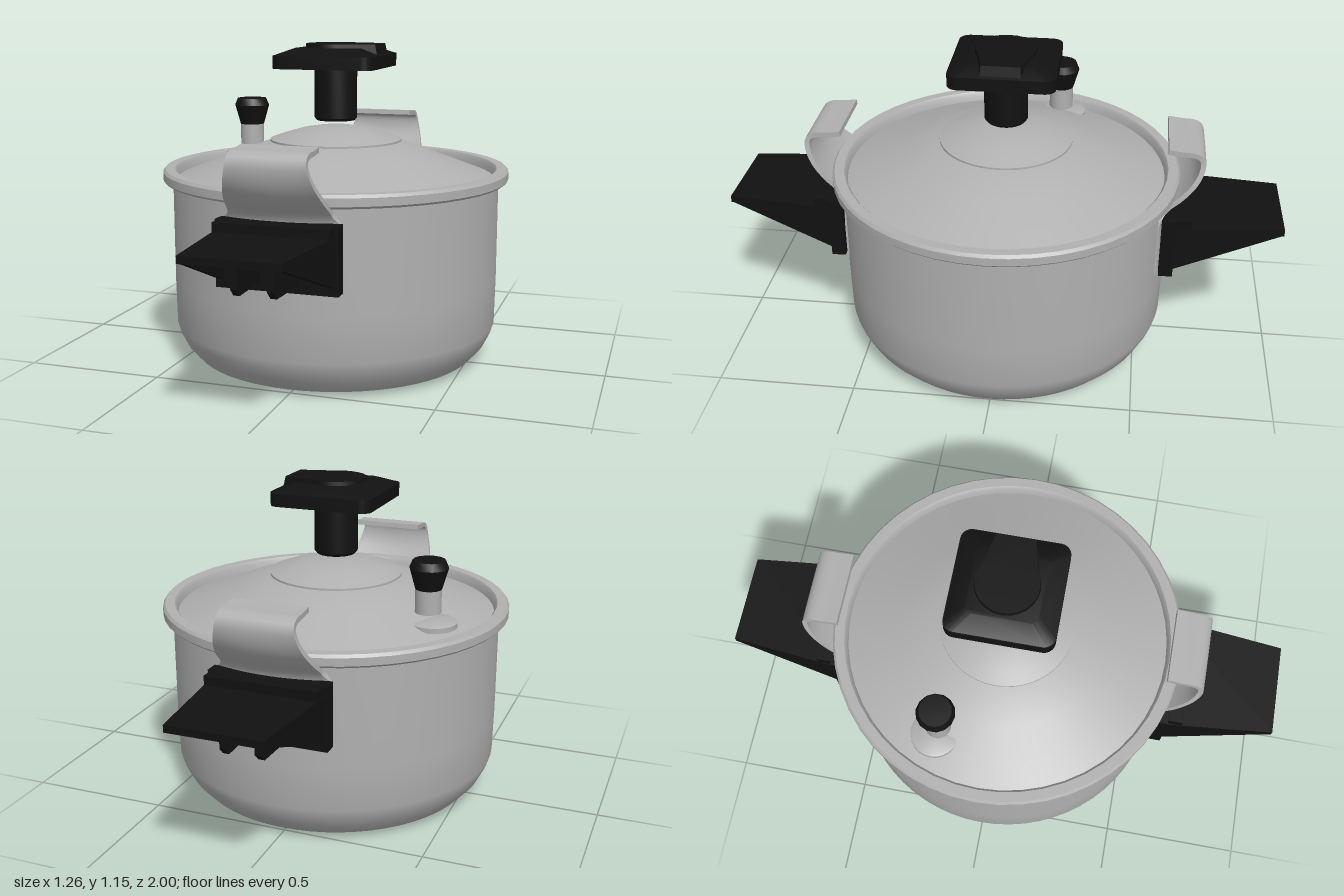
import * as THREE from 'three';
import { toCreasedNormals } from 'three/addons/utils/BufferGeometryUtils.js';

const steel = new THREE.MeshStandardMaterial({ color: 0xb0b0b0 });
steel.name = 'brushed steel';
const black = new THREE.MeshStandardMaterial({ color: 0x111111 });
black.name = 'black plastic';

function part(name, geometry, material, crease = 0.6) {
  const mesh = new THREE.Mesh(toCreasedNormals(geometry, crease), material);
  mesh.name = name;
  return mesh;
}

function lathe(name, points, material, sides) {
  const profile = points.map(([r, y]) => new THREE.Vector2(r, y));
  return part(name, new THREE.LatheGeometry(profile, sides), material);
}

// Square with rounded corners, centred on the origin
function roundedSquare(h, r) {
  const s = new THREE.Shape();
  s.absarc(h - r, h - r, r, 0, Math.PI / 2);
  s.absarc(r - h, h - r, r, Math.PI / 2, Math.PI);
  s.absarc(r - h, r - h, r, Math.PI, Math.PI * 1.5);
  s.absarc(h - r, r - h, r, Math.PI * 1.5, Math.PI * 2);
  s.closePath();
  return s;
}

// Upright slab from a plan shape; the top outline can be shrunk
function slab(name, shape, y0, y1, topScale = 1) {
  const g = new THREE.ExtrudeGeometry(shape, { depth: y1 - y0, bevelEnabled: false, curveSegments: 8 });
  g.rotateX(-Math.PI / 2);
  const p = g.attributes.position;
  for (let i = 0; i < p.count; i++) {
    if (p.getY(i) > (y1 - y0) / 2) p.setXYZ(i, p.getX(i) * topScale, p.getY(i), p.getZ(i) * topScale);
  }
  g.translate(0, y0, 0);
  return part(name, g, black);
}

// Side profile in (z, y), given a width in x and narrowed towards the tip
function taperedProfile(name, points, x, width) {
  const shape = new THREE.Shape(points.map(([z, y]) => new THREE.Vector2(z, y)));
  const g = new THREE.ExtrudeGeometry(shape, { depth: width, bevelEnabled: false });
  g.rotateY(-Math.PI / 2);
  g.translate(x + width / 2, 0, 0);
  const p = g.attributes.position;
  for (let i = 0; i < p.count; i++) {
    p.setX(i, p.getX(i) * (1 - 0.2 * Math.max(0, p.getZ(i) - 0.6) / 0.4));
  }
  return part(name, g, black);
}

function box(name, w, y0, y1, z0, z1) {
  const g = new THREE.BoxGeometry(w, y1 - y0, z1 - z0);
  g.translate(0, (y0 + y1) / 2, (z0 + z1) / 2);
  return part(name, g, black);
}

// Bent sheet that hugs the wall, bulges past the rim and hooks over it
function clampBracket() {
  const path = new THREE.CatmullRomCurve3([
    [0.59, 0.385], [0.59, 0.5], [0.59, 0.605], [0.61, 0.645], [0.65, 0.685], [0.685, 0.735],
    [0.70, 0.785], [0.697, 0.82], [0.675, 0.836], [0.63, 0.84], [0.578, 0.846],
  ].map(([z, y]) => new THREE.Vector3(0, y, z)));
  const g = new THREE.BoxGeometry(1, 1, 1, 12, 40, 1);
  const p = g.attributes.position;
  const { lerp, smoothstep } = THREE.MathUtils;
  for (let i = 0; i < p.count; i++) {
    const t = p.getY(i) + 0.5;
    const c = path.getPointAt(t);
    const d = path.getTangentAt(t);
    let half = lerp(0.205, 0.18, smoothstep(c.y, 0.6, 0.64));
    half = lerp(half, 0.132, smoothstep(c.y, 0.62, 0.845));
    const x = p.getX(i) * 2 * half;
    const hug = 0.8 * x * x * (1 - smoothstep(c.y, 0.62, 0.84));
    const off = p.getZ(i) * 0.018;
    p.setXYZ(i, x, c.y - d.z * off, c.z + d.y * off - hug);
  }
  return part('clampBracket', g, steel, 0.7);
}

function sideHandle() {
  const g = new THREE.Group();
  g.add(clampBracket());
  g.add(box('handlePlate', 0.42, 0.385, 0.612, 0.572, 0.622));
  g.add(box('handleShoulder', 0.395, 0.54, 0.612, 0.61, 0.675));
  g.add(taperedProfile('handleGrip', [[0.6, 0.545], [1, 0.555], [1, 0.58], [0.6, 0.58]], 0, 0.41));
  for (const s of [-1, 1]) {
    g.add(taperedProfile('gripSkirt', [[0.6, 0.405], [0.99, 0.555], [0.99, 0.57], [0.6, 0.57]], s * 0.193, 0.024));
    g.add(taperedProfile('gripRib',
      [[0.6, 0.415], [0.8, 0.415], [0.825, 0.44], [0.825, 0.56], [0.6, 0.56]], s * 0.068, 0.024));
  }
  // Bolt under the grip
  const bolt = new THREE.CylinderGeometry(0.022, 0.034, 0.03, 8);
  bolt.rotateX(Math.PI / 2);
  bolt.translate(0, 0.503, 0.637);
  g.add(part('handleBolt', bolt, steel));
  return g;
}

export function createModel() {
  const model = new THREE.Group();
  model.name = 'pressureCooker';

  // Vessel with rolled rim
  model.add(lathe('potBody', [[0, 0], [0.42, 0], [0.52, 0.02], [0.56, 0.065], [0.583, 0.11], [0.592, 0.14],
    [0.595, 0.3], [0.595, 0.67]], steel, 64));
  model.add(lathe('potRim', [[0.59, 0.662], [0.622, 0.662], [0.63, 0.67], [0.63, 0.698], [0.622, 0.708],
    [0.588, 0.708], [0.58, 0.698], [0.575, 0.65]], steel, 48));

  // Lid cone and raised centre dome
  model.add(lathe('lid', [[0.585, 0.668], [0.48, 0.708], [0.36, 0.755], [0.24, 0.8], [0, 0.81]], steel, 64));
  model.add(lathe('lidDome', [[0.235, 0.795], [0.24, 0.8], [0.24, 0.807], [0.19, 0.824], [0.13, 0.842],
    [0.07, 0.852], [0, 0.855]], steel, 48));

  // Lid knob
  model.add(lathe('knobStem', [[0, 0.875], [0.07, 0.875], [0.078, 0.885], [0.078, 1.07]], black, 32));
  model.add(slab('knobPlate', roundedSquare(0.186, 0.04), 1.067, 1.113));
  model.add(slab('knobSlope', roundedSquare(0.184, 0.04), 1.113, 1.138, 0.66));
  const cap = new THREE.Shape();
  cap.absarc(0, 0, 0.113, Math.PI * 0.33, Math.PI * 1.67);
  cap.lineTo(0.175, -0.07);
  cap.lineTo(0.175, 0.07);
  cap.closePath();
  model.add(slab('knobCap', cap, 1.113, 1.152, 0.95));

  // Pressure valve on its flat seat
  const valve = new THREE.Group();
  valve.name = 'pressureValve';
  valve.position.set(-0.4, 0, -0.17);
  valve.add(lathe('valveStem', [[0, 0.745], [0.045, 0.745], [0.045, 0.835]], steel, 24));
  valve.add(lathe('valveCap', [[0, 0.828], [0.046, 0.828], [0.067, 0.902], [0.056, 0.928], [0, 0.93]], black, 14));
  const seat = lathe('valveSeat', [[0.085, 0.7], [0.085, 0.718], [0.075, 0.723], [0, 0.724]], steel, 24);
  seat.position.set(-0.02, 0, -0.01);
  valve.add(seat);
  model.add(valve);

  // Matching handles at front and back
  const front = sideHandle();
  front.name = 'frontHandle';
  const back = sideHandle();
  back.name = 'backHandle';
  back.rotation.y = Math.PI;
  model.add(front, back);

  return model;
}
